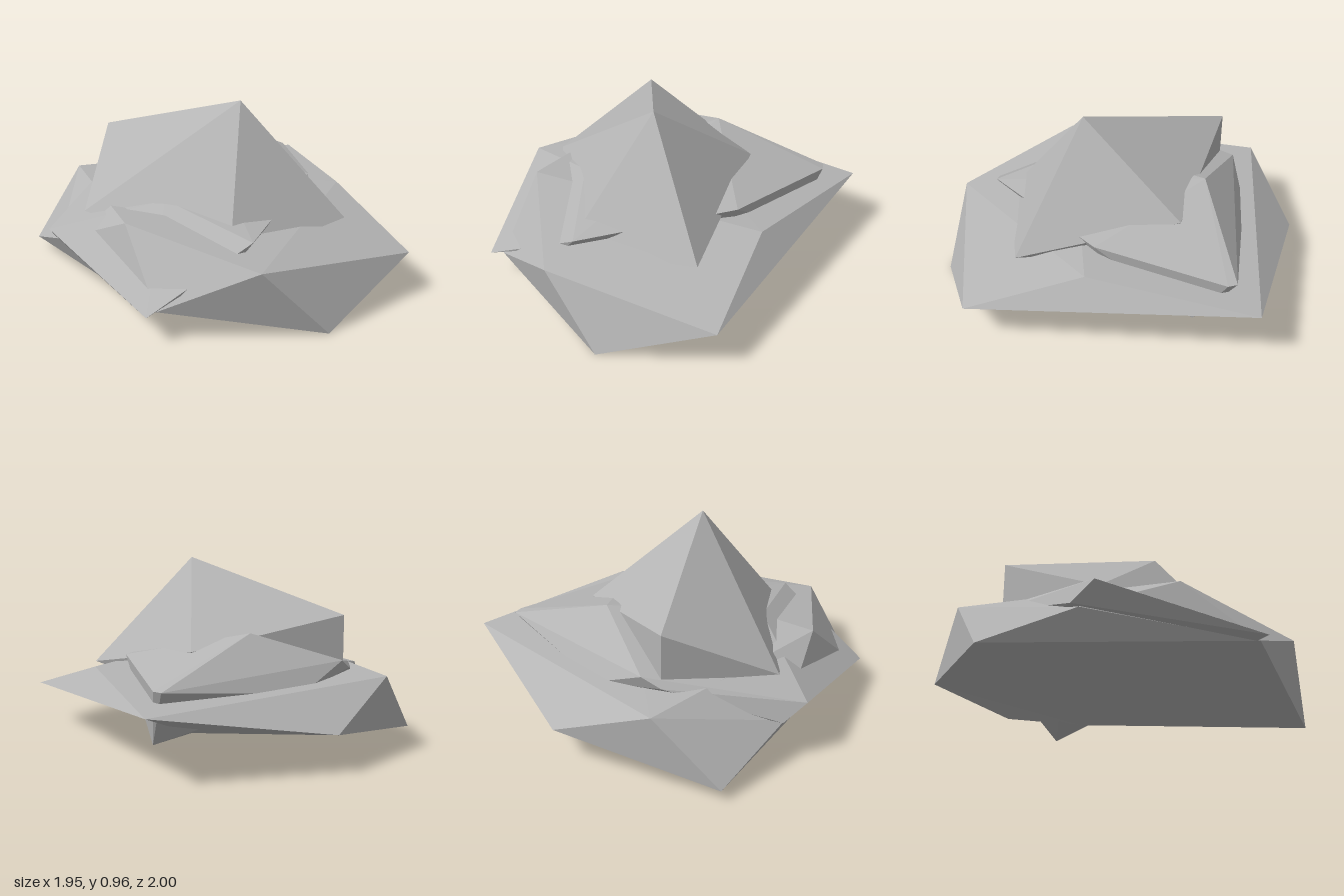
import * as THREE from 'three';
import { ConvexGeometry } from 'three/addons/geometries/ConvexGeometry.js';

// A pile of three faceted boulders, each the hull of its corner points.
const stone = new THREE.MeshStandardMaterial({ color: 0xb4b4b4 });
stone.name = 'grey stone';

function rock(name, corners) {
  const points = corners.map(([x, y, z]) => new THREE.Vector3(x, y, z));
  const mesh = new THREE.Mesh(new ConvexGeometry(points), stone);
  mesh.name = name;
  return mesh;
}

export function createModel() {
  const group = new THREE.Group();
  group.name = 'rockPile';

  // Broad slab resting on the ground
  group.add(rock('baseRock', [
    [-0.28, 0.33, -1.0], [0.97, 0.23, -0.19], [0.86, 0, 0.4],
    [-0.98, 0.06, 0.52], [-0.97, 0.39, 0.18], [-0.92, 0.19, -0.33],
    [0.64, 0.35, 0.65], [0.24, 0.15, 0.93], [-0.08, 0.46, 0.77],
    [0.4, 0.41, -0.43], [-0.58, 0.23, 0.73], [-0.1, 0.09, -0.3],
  ]));

  // Tilted slab pushing out at the front, left edge and back
  group.add(rock('middleRock', [
    [-0.25, 0.41, -0.82], [-0.2, 0.41, -0.81], [-0.4, 0.62, -0.23],
    [0.29, 0.47, -0.31], [0.5, 0.42, 0.52], [0.24, 0.15, 1.0],
    [-0.55, 0.33, 0.83], [-0.62, 0.24, 0.73], [-0.77, 0.47, 0.07],
    [-0.77, 0.42, 0.17], [-0.05, 0.5, 0.5], [-0.68, 0.34, -0.2],
    [-0.1, 0.11, -0.66], [0.26, 0.4, -0.3], [0.47, 0.36, 0.56],
  ]));

  // Peaked rock on top
  group.add(rock('topRock', [
    [0.14, 0.96, 0.12], [-0.74, 0.69, 0.16], [-0.45, 0.4, 0.67],
    [0.64, 0.37, -0.1], [0.4, 0.3, 0.57], [-0.16, 0.53, -0.4],
    [-0.74, 0.44, 0.16], [-0.1, 0.3, -0.3],
  ]));

  return group;
}
